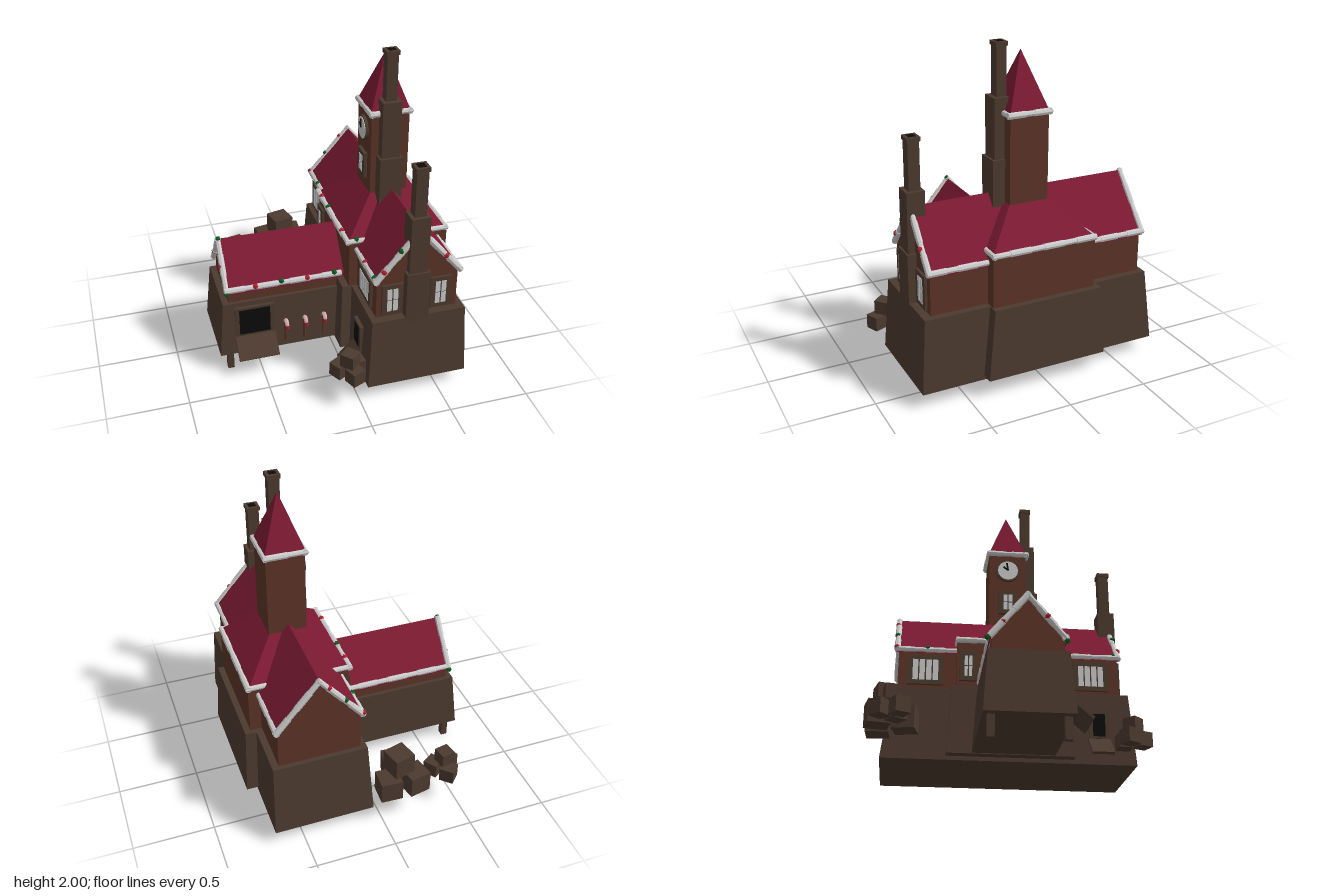
import * as THREE from 'three';

const mat = (color) => new THREE.MeshStandardMaterial({ color, flatShading: true });
const M = {
  timber: mat(0x4c3a2f), wall: mat(0x5c3427), roof: mat(0x7c1a32), snow: mat(0xe0e0e0),
  dark: mat(0x0c0c0c), pane: mat(0xcccccc), red: mat(0xb02030), green: mat(0x0c5a20), pink: mat(0xd8b0b4),
};

export function createModel() {
  const root = new THREE.Group();

  const add = (name, geo, m, x = 0, y = 0, z = 0, parent = root) => {
    const mesh = new THREE.Mesh(geo, m);
    mesh.name = name;
    mesh.position.set(x, y, z);
    parent.add(mesh);
    return mesh;
  };

  // Box given by its limits
  const block = (name, m, x0, x1, y0, y1, z0, z1, parent = root) =>
    add(name, new THREE.BoxGeometry(x1 - x0, y1 - y0, z1 - z0), m, (x0 + x1) / 2, (y0 + y1) / 2, (z0 + z1) / 2, parent);

  // Tapered box: bottom and top rectangles are [x0, x1, z0, z1]
  const taper = (name, m, y0, y1, bottom, top) => {
    const g = new THREE.BoxGeometry(1, 1, 1);
    const p = g.attributes.position;
    for (let i = 0; i < p.count; i++) {
      const up = p.getY(i) > 0, r = up ? top : bottom;
      p.setXYZ(i, r[p.getX(i) > 0 ? 1 : 0], up ? y1 : y0, r[p.getZ(i) > 0 ? 3 : 2]);
    }
    g.computeVertexNormals();
    return add(name, g, m);
  };

  const prism = (pts, depth) => new THREE.ExtrudeGeometry(
    new THREE.Shape(pts.map(([x, y]) => new THREE.Vector2(x, y))), { depth, bevelEnabled: false });

  // Gabled walls and a bent roof slab, running along local z
  const gableHouse = (name, half, yLow, yEave, yRidge, length) => {
    const g = new THREE.Group();
    g.name = name;
    const w = half - 0.012, t = 0.028;
    add(name + 'Walls', prism([[-w, yLow], [w, yLow], [w, yEave], [0, yRidge - 0.015], [-w, yEave]], length - 0.03),
      M.wall, 0, 0, -length / 2 + 0.015, g);
    add(name + 'Roof', prism([[-half, yEave], [-half, yEave - t], [0, yRidge - t], [half, yEave - t], [half, yEave], [0, yRidge]], length),
      M.roof, 0, 0, -length / 2, g);
    root.add(g);
    return g;
  };

  // Stone-like tapered bases
  taper('mainBase', M.timber, 0.095, 0.55, [0.05, 0.678, -0.76, 0.775], [0.075, 0.66, -0.705, 0.745]);
  taper('crossBase', M.timber, 0.12, 0.55, [-0.01, 0.75, -0.375, 0.392], [0.015, 0.728, -0.35, 0.345]);
  taper('wingBase', M.timber, 0.125, 0.49, [-0.755, 0.1, -0.225, 0.27], [-0.72, 0.1, -0.2, 0.245]);
  for (const z of [0.23, -0.18]) block('wingPost', M.timber, -0.71, -0.67, 0, 0.13, z - 0.021, z + 0.021);

  // Main hall, wing and crossing block
  gableHouse('mainHall', 0.265, 0.53, 0.815, 1.12, 1.4).position.set(0.365, 0, 0.008);
  const wing = gableHouse('wing', 0.212, 0.47, 0.58, 0.835, 0.76);
  wing.rotation.y = Math.PI / 2;
  wing.position.set(-0.315, 0, 0.023);
  block('crossWalls', M.wall, 0.058, 0.69, 0.53, 0.865, -0.32, 0.34);
  taper('crossRoof', M.roof, 0.86, 1.07, [0.045, 0.69, -0.33, 0.345], [0.25, 0.488, -0.11, 0.14]);

  // Tower and spire
  block('tower', M.wall, 0.25, 0.488, 1.0, 1.61, -0.108, 0.137);
  const spire = new THREE.ConeGeometry(0.122 * Math.SQRT2, 0.335, 4);
  spire.rotateY(Math.PI / 4);
  add('spire', spire, M.roof, 0.368, 1.777, 0.015);

  // Chimneys, each level [x0, x1, y0, y1, z0, z1]
  const chimney = (name, levels) => {
    levels.forEach((l) => block(name, M.timber, ...l));
    const [x0, x1, , y1, z0, z1] = levels[levels.length - 1];
    block(name + 'Cap', M.timber, x0 - 0.007, x1 + 0.007, y1 - 0.025, y1, z0 - 0.006, z1 + 0.006);
    block(name + 'Flue', M.dark, x0 + 0.012, x1 - 0.012, y1 - 0.02, y1 + 0.002, z0 + 0.012, z1 - 0.012);
  };
  chimney('towerChimney', [[0.285, 0.428, 0.98, 1.33, 0.1, 0.215], [0.297, 0.415, 1.3, 1.69, 0.1, 0.2], [0.322, 0.39, 1.6, 2.0, 0.113, 0.175]]);
  chimney('frontChimney', [[0.28, 0.425, 0.5, 0.85, 0.6, 0.747], [0.295, 0.41, 0.8, 1.215, 0.625, 0.735], [0.318, 0.39, 1.2, 1.525, 0.643, 0.712]]);

  // Lumpy snow rolls along the roof edges
  const up = new THREE.Vector3(0, 1, 0);
  const snow = (...pts) => {
    const v = pts.map((p) => new THREE.Vector3(...p));
    for (let i = 0; i + 1 < v.length; i++) {
      const d = v[i + 1].clone().sub(v[i]), n = Math.max(1, Math.round(d.length() / 0.1));
      for (let k = 0; k < n; k++) {
        const r = 0.017 + 0.003 * ((k + i) % 2);
        const c = add('snowEdge', new THREE.CylinderGeometry(r, r, d.length() / n + 0.025, 8), M.snow);
        c.position.copy(v[i]).addScaledVector(d, (k + 0.5) / n);
        c.quaternion.setFromUnitVectors(up, d.clone().normalize());
      }
    }
  };
  for (const [z, zi] of [[0.7, 0.33], [-0.685, -0.315]]) {
    snow([0.105, 0.81, zi], [0.105, 0.81, z], [0.365, 1.115, z], [0.625, 0.81, z], [0.625, 0.81, zi]);
  }
  for (const [x, xi] of [[0.05, 0.16], [0.685, 0.57]]) {
    snow([xi, 0.865, -0.315], [x, 0.865, -0.315], [x, 0.865, 0.33], [xi, 0.865, 0.33]);
  }
  snow([0.03, 0.58, -0.182], [-0.69, 0.58, -0.182], [-0.69, 0.83, 0.023], [-0.69, 0.58, 0.228], [0.03, 0.58, 0.228]);
  snow([0.25, 1.6, -0.11], [0.488, 1.6, -0.11], [0.488, 1.6, 0.14], [0.25, 1.6, 0.14], [0.25, 1.6, -0.11]);

  // Coloured lights on the snow
  const lights = {
    red: [[-0.695, 0.66, -0.115], [-0.7, 0.7, 0.13], [-0.51, 0.59, 0.238], [-0.18, 0.59, 0.238], [0.105, 0.82, 0.5], [0.05, 0.878, -0.23],
      [0.05, 0.878, 0.21], [0.15, 0.875, 0.71], [0.53, 0.925, 0.71], [0.1, 0.82, -0.69], [0.31, 1.06, -0.69]],
    green: [[-0.69, 0.835, 0.025], [-0.69, 0.565, 0.235], [-0.69, 0.565, -0.2], [-0.345, 0.595, 0.235], [-0.005, 0.595, 0.235], [0.105, 0.82, 0.67],
      [0.105, 0.875, 0.33], [0.05, 0.878, -0.085], [0.1, 0.82, -0.5], [0.25, 1.0, 0.705], [0.21, 0.945, -0.69]],
  };
  for (const color in lights) for (const p of lights[color]) add(color + 'Light', new THREE.IcosahedronGeometry(0.019, 0), M[color], ...p);

  // Framed windows with panes, facing local +z
  const windowAt = (x, y, z, w, h, cols, rows, turn = 0) => {
    const g = new THREE.Group();
    g.name = 'window';
    add('frame', new THREE.BoxGeometry(w, h, 0.03), M.timber, 0, 0, 0, g);
    const pw = (w - 0.055) / cols, ph = (h - 0.05) / rows;
    for (let i = 0; i < cols; i++) for (let j = 0; j < rows; j++) {
      add('pane', new THREE.BoxGeometry(pw - 0.008, ph - 0.006, 0.006), M.pane,
        (i - (cols - 1) / 2) * pw, (j - (rows - 1) / 2) * ph, 0.015, g);
    }
    g.position.set(x, y, z);
    g.rotation.y = turn;
    root.add(g);
  };
  const left = -Math.PI / 2;
  for (const x of [0.208, 0.51]) windowAt(x, 0.67, 0.694, 0.13, 0.21, 2, 2);
  for (const z of [-0.51, 0.52]) windowAt(0.11, 0.675, z, 0.22, 0.19, 4, 1, left);
  windowAt(0.056, 0.69, -0.25, 0.11, 0.19, 2, 2, left);
  windowAt(0.244, 1.23, 0.015, 0.12, 0.165, 2, 2, left);

  // Tower clock
  const disc = (name, r, t, m, x) => {
    add(name, new THREE.CylinderGeometry(r, r, t, 16), m, x, 1.465, 0.015).rotation.z = Math.PI / 2;
  };
  disc('clockRim', 0.078, 0.02, M.timber, 0.242);
  disc('clockFace', 0.068, 0.02, M.pane, 0.238);
  for (const [len, a] of [[0.055, 0.15], [0.04, 0.9]]) {
    const hand = new THREE.BoxGeometry(0.006, len, 0.011);
    hand.translate(0, len / 2, 0);
    add('clockHand', hand, M.dark, 0.227, 1.465, 0.015).rotation.x = -a;
  }

  // Serving hatches with sloped shelves
  const hatch = (x, y, z, w, h, turn, drop) => {
    const g = new THREE.Group();
    g.name = 'hatch';
    add('hatchFrame', new THREE.BoxGeometry(w + 0.05, h + 0.03, 0.03), M.timber, 0, 0, 0, g);
    add('hatchOpening', new THREE.BoxGeometry(w, h, 0.03), M.dark, 0, 0, 0.004, g);
    const shelf = new THREE.BoxGeometry(w + 0.06, 0.016, 0.165);
    shelf.translate(0, 0, 0.0825);
    add('hatchShelf', shelf, M.timber, 0, -h / 2 - 0.015, 0, g).rotation.x = drop;
    g.position.set(x, y, z);
    g.rotation.y = turn;
    root.add(g);
  };
  hatch(-0.528, 0.355, 0.252, 0.195, 0.18, 0, 0.72);
  hatch(0.06, 0.34, 0.55, 0.075, 0.14, left, 0.8);

  // Striped canes along the wing
  for (const x of [-0.335, -0.212, -0.088]) {
    add('caneStick', new THREE.CylinderGeometry(0.01, 0.01, 0.14, 6), M.wall, x, 0.24, 0.275);
    add('caneHook', new THREE.TorusGeometry(0.022, 0.013, 6, 8, Math.PI), M.pink, x, 0.31, 0.297).rotation.y = left;
    add('caneTip', new THREE.CylinderGeometry(0.013, 0.013, 0.025, 6), M.red, x, 0.3, 0.319);
  }

  // Stacked crates: [x, y, z, size, turn]
  const crates = [
    [-0.11, 0.225, 0.7, 0.088, 0.5], [0, 0.225, 0.69, 0.088, 0.1], [-0.04, 0.225, 0.79, 0.088, 0.4], [-0.055, 0.31, 0.735, 0.088, 0.75],
    [-0.45, 0.225, -0.755, 0.09, 0.8], [-0.49, 0.225, -0.65, 0.09, 0.45], [-0.385, 0.225, -0.67, 0.09, 0.6], [-0.445, 0.31, -0.695, 0.088, 0.2],
    [-0.21, 0.27, -0.775, 0.135, 0.2], [-0.04, 0.27, -0.775, 0.135, -0.05], [-0.13, 0.27, -0.62, 0.135, -0.22], [-0.12, 0.402, -0.73, 0.135, 0.25],
  ];
  for (const [x, y, z, s, turn] of crates) add('crate', new THREE.BoxGeometry(s, s, s), M.timber, x, y, z).rotation.y = turn;

  return root;
}
